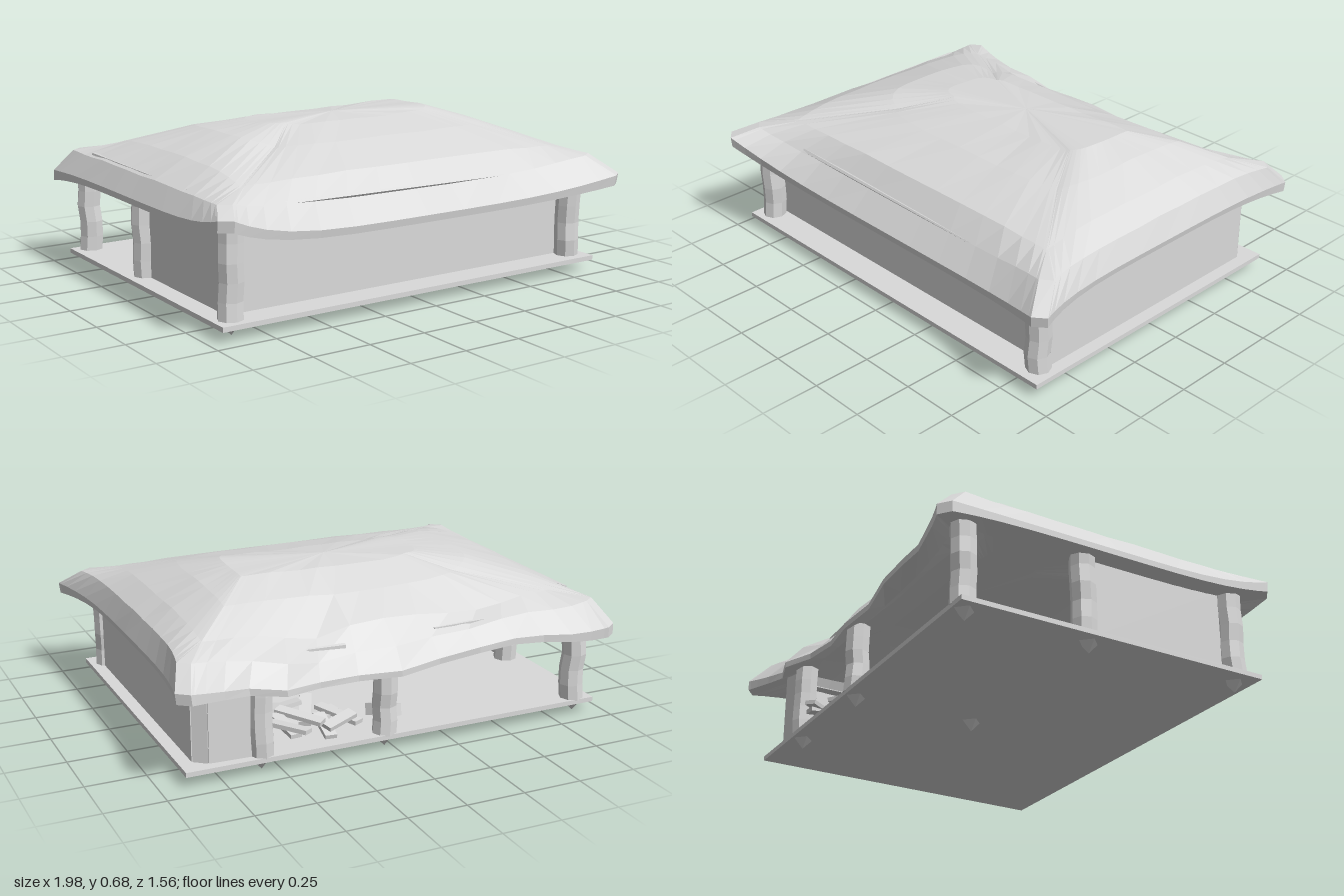
import * as THREE from 'three';

export function createModel() {
  const root = new THREE.Group();
  const mat = new THREE.MeshStandardMaterial({ color: 0xdadada });
  mat.name = 'paleGrey';
  mat.flatShading = true;
  mat.side = THREE.DoubleSide;

  let seed = 7;
  const rnd = () => (seed = (seed * 16807) % 2147483647) / 2147483647 - 0.5;
  const add = (name, geo, x = 0, y = 0, z = 0) => {
    const m = new THREE.Mesh(geo, mat);
    m.name = name;
    m.position.set(x, y, z);
    root.add(m);
    return m;
  };
  const lerp = THREE.MathUtils.lerp;

  // floor slab
  add('floor', new THREE.BoxGeometry(1.85, 0.02, 1.38), -0.025, 0.055, 0.01);

  // walls: panels along an open path, leaving the back left part open
  const path = [[-0.86, -0.1], [-0.86, 0.57], [0.84, 0.57], [0.84, -0.59], [0.79, -0.63], [0.57, -0.64]];
  for (let i = 0; i < path.length - 1; i++) {
    const [ax, az] = path[i], [bx, bz] = path[i + 1];
    const wall = add('wall', new THREE.BoxGeometry(Math.hypot(bx - ax, bz - az), 0.38, 0.012),
      (ax + bx) / 2, 0.25, (az + bz) / 2);
    wall.rotation.y = -Math.atan2(bz - az, bx - ax);
  }

  // slightly crooked posts, lower along the back: x, z, height
  const posts = [[-0.87, 0.62, 0.38], [0.82, 0.615, 0.38], [-0.87, -0.1, 0.38],
    [-0.87, -0.63, 0.34], [0.03, -0.63, 0.3], [0.57, -0.63, 0.32]];
  for (const [x, z, h] of posts) {
    const geo = new THREE.CylinderGeometry(0.052, 0.052, h, 8, 5);
    const p = geo.attributes.position;
    const bend = Array.from({ length: 6 }, () => [rnd() * 0.01, rnd() * 0.01]);
    for (let i = 0; i < p.count; i++) {
      const [dx, dz] = bend[Math.round((p.getY(i) / h + 0.5) * 5)];
      p.setXYZ(i, p.getX(i) + dx, p.getY(i), p.getZ(i) + dz);
    }
    add('post', geo, x, 0.06 + h / 2, z);
  }

  // pointed feet below the floor
  for (const [x, z] of [[-0.87, 0.62], [-0.88, -0.09], [-0.88, -0.63], [0.03, -0.63], [0.57, -0.63], [0.02, -0.09]]) {
    const spike = add('footSpike', new THREE.ConeGeometry(0.045, 0.048, 4), x, 0.024, z);
    spike.rotation.x = Math.PI;
  }

  // roof: rings from the inner eave over the rim to the crest
  // left, right, back, front extents; heights at left, right, back, front, corner; corner flare
  const rings = [
    [-0.82, 0.80, -0.6, 0.58, 0.42, 0.42, 0.39, 0.40, 0.43, 0.03],
    [-0.975, 0.91, -0.70, 0.695, 0.40, 0.39, 0.35, 0.335, 0.385, 0.08],
    [-0.975, 0.915, -0.70, 0.70, 0.425, 0.415, 0.375, 0.365, 0.43, 0.08],
    [-0.92, 0.875, -0.64, 0.615, 0.51, 0.51, 0.46, 0.46, 0.51, 0.05],
    [-0.77, 0.78, -0.56, 0.535, 0.585, 0.57, 0.53, 0.55, 0.54, 0],
    [-0.55, 0.63, -0.41, 0.30, 0.65, 0.635, 0.62, 0.62, 0.615, 0],
    [-0.35, 0.49, -0.24, 0.08, 0.67, 0.677, 0.675, 0.662, 0.672, 0],
  ];
  // height and sideways offsets of the rim tabs, starting at the front left of the plan
  const tabY = [0.05, 0, -0.01, -0.015, 0.05], tabX = [0, 0.015, -0.025, 0, 0];
  // how far the upper corners are rounded off
  const rounding = [0.2, 0.1, 0, 0.2, 0.2];
  const N = 16, verts = [], idx = [];
  const bump = (x, z, cx, cz, sx, sz, d) => d * Math.exp(-(((x - cx) / sx) ** 2) - ((z - cz) / sz) ** 2);
  rings.forEach(([l, r, b, f, yl, yr, yb, yf, yc, flare], k) => {
    const fl = flare * 0.15, fr = flare * 0.8, rim = k === 1 || k === 2 ? 1 : 0;
    const cut = flare ? 0.025 : 0;
    const corners = [[l - fl, f + flare], [r + fr, f + flare], [r + fr, b - flare], [l - fl, b - flare]];
    const mids = [yf, yr, yb, yl];
    for (let s = 0; s < 4; s++) {
      const a = corners[s], c = corners[(s + 1) % 4];
      for (let j = 0; j <= N; j++) {
        // points gather towards the blunt corners
        const e = 0.5 - 0.5 * Math.cos(Math.PI * j / N);
        const t = lerp(cut, 1 - cut, e), w = Math.abs(2 * e - 1) ** 4;
        const end = s + (e > 0.5 ? 1 : 0);
        let x = lerp(a[0], c[0], t), z = lerp(a[1], c[1], t);
        if (s === 0) z = f + flare * w;
        if (s === 1) x = r + fr * w;
        if (s === 2) z = b - flare * w;
        if (s === 3) x = l - fl * w;
        x += rim * w * tabX[end];
        if (k > 4) {
          x = lerp(x, (l + r) / 2, w * rounding[end]);
          z = lerp(z, (b + f) / 2, w * rounding[end]);
        }
        let y = lerp(mids[s], yc, w) + rim * w * tabY[end];
        // sagging, rumpled back edge
        if (s === 2 && k > 0 && k < 4) {
          y -= (1 - w) * 0.028 * Math.cos(x < 0 ? 6 * x : 2 * x);
          z += (1 - w) * 0.012 * Math.cos(x * 15 + Math.PI) - bump(x, 0, 0.52, 0, 0.08, 1, 0.05);
        }
        // hollows in the back slope and slight unevenness
        if (k > 2) {
          y -= bump(x, z, 0.33, -0.58, 0.15, 0.09, 0.05) + bump(x, z, -0.4, -0.58, 0.2, 0.09, 0.035)
            + bump(x, z, 0, -0.37, 0.35, 0.17, 0.025);
          y += 0.003 * Math.sin(23 * x + 5 * z) * Math.cos(19 * z - 7 * x);
        }
        verts.push(x, y, z);
      }
    }
  });
  const M = 4 * (N + 1);
  for (let k = 0; k < rings.length - 1; k++) {
    for (let j = 0; j < M; j++) {
      const a = k * M + j, b = k * M + (j + 1) % M;
      idx.push(a, b, b + M, a, b + M, a + M);
    }
  }
  // closing fan at the crest
  const top = verts.length / 3, last = (rings.length - 1) * M;
  verts.push(0.05, 0.676, -0.08);
  for (let j = 0; j < M; j++) idx.push(last + j, last + (j + 1) % M, top);
  const roof = new THREE.BufferGeometry();
  roof.setAttribute('position', new THREE.Float32BufferAttribute(verts, 3));
  roof.setIndex(idx);
  roof.computeVertexNormals();
  add('roof', roof);

  // thin folds lying on the roof: from, to
  const folds = [
    [[-0.75, 0.475, 0.61], [0.62, 0.458, 0.617]],
    [[-0.9, 0.512, -0.5], [-0.9, 0.512, 0.55]],
    [[-0.62, 0.475, -0.62], [-0.2, 0.465, -0.61]],
    [[0.2, 0.45, -0.61], [0.48, 0.46, -0.61]],
  ];
  for (const [a, b] of folds) {
    const A = new THREE.Vector3(...a), B = new THREE.Vector3(...b);
    const d = B.clone().sub(A);
    const fold = add('roofFold', new THREE.CylinderGeometry(0.004, 0.012, d.length(), 5));
    fold.position.copy(A).add(B).multiplyScalar(0.5);
    fold.quaternion.setFromUnitVectors(new THREE.Vector3(0, 1, 0), d.normalize());
  }

  // heap of broken boards inside the open back
  for (let i = 0; i < 11; i++) {
    const board = add('brokenBoard', new THREE.BoxGeometry(0.2 + rnd() * 0.1, 0.018, 0.05),
      0.3 + rnd() * 0.36, 0.09 + i * 0.007, -0.48 + rnd() * 0.24);
    board.rotation.set(rnd() * 0.4, rnd() * 3, rnd() * 0.3);
  }
  const block = add('fallenBlock', new THREE.BoxGeometry(0.06, 0.05, 0.14), -0.03, 0.1, -0.5);
  block.rotation.set(0.2, 0.5, 0.1);

  return root;
}
